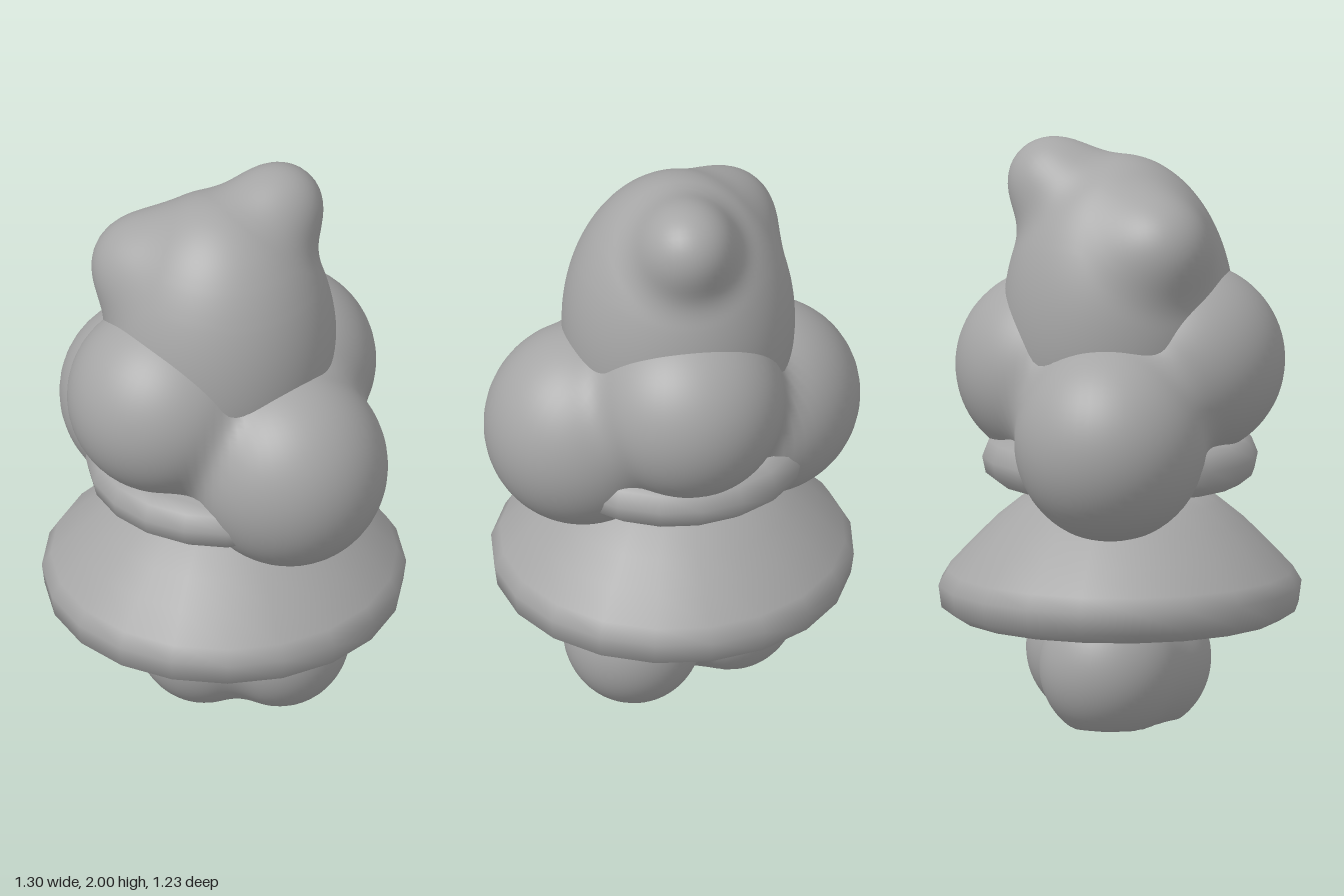
import * as THREE from 'three';
import { mergeVertices } from 'three/addons/utils/BufferGeometryUtils.js';

// Each lobe is [x, y, z, rx, ry, rz]; distance to its surface (approximate for ellipsoids)
function lobeDistance(p, [x, y, z, rx, ry = rx, rz = rx]) {
  const k = Math.hypot((p.x - x) / rx, (p.y - y) / ry, (p.z - z) / rz);
  return (k - 1) * Math.min(rx, ry, rz);
}

// Rounded union of all lobes
function blobDistance(p, lobes, blend) {
  let d = lobeDistance(p, lobes[0]);
  for (const lobe of lobes.slice(1)) {
    const e = lobeDistance(p, lobe);
    const h = Math.max(blend - Math.abs(d - e), 0) / blend;
    d = Math.min(d, e) - h * h * blend * 0.25;
  }
  return d;
}

// Shrink-wraps a sphere onto the lobes along rays from a centre
function blobGeometry(center, lobes, blend, floor = 0) {
  let geo = new THREE.SphereGeometry(1, 96, 72);
  geo.deleteAttribute('uv');
  geo.deleteAttribute('normal');
  geo = mergeVertices(geo, 1e-4);
  const pos = geo.attributes.position;
  const c = new THREE.Vector3(...center);
  const dir = new THREE.Vector3();
  const p = new THREE.Vector3();
  for (let i = 0; i < pos.count; i++) {
    dir.fromBufferAttribute(pos, i).normalize();
    let t = 1.1;
    for (let s = 0; s < 90; s++) {
      p.copy(c).addScaledVector(dir, t);
      const d = blobDistance(p, lobes, blend);
      if (d < 0.0004) break;
      t -= d * 0.7;
    }
    pos.setXYZ(i, p.x, Math.max(p.y, floor), p.z);
  }
  geo.computeVertexNormals();
  return geo;
}

const lathe = (points) =>
  new THREE.LatheGeometry(points.map(([r, y]) => new THREE.Vector2(r, y)), 20);

export function createModel() {
  const group = new THREE.Group();
  const grey = new THREE.MeshStandardMaterial({ color: 0xa6a6a6 });
  grey.name = 'grey';
  const brown = new THREE.MeshStandardMaterial({ color: 0x8a6538 });
  brown.name = 'brown';

  const add = (name, geometry, material = grey) => {
    const mesh = new THREE.Mesh(geometry, material);
    mesh.name = name;
    group.add(mesh);
    return mesh;
  };

  // Lobed foot under the skirt
  add('base', blobGeometry([0, 0.24, 0], [
    [0.19, 0.23, -0.06, 0.235, 0.25, 0.24],
    [-0.19, 0.23, -0.05, 0.235, 0.25, 0.24],
    [-0.03, 0.23, 0.07, 0.235, 0.25, 0.235],
  ], 0.06, 0.025));

  // Small plug beneath the foot
  const plug = add('plug', new THREE.CylinderGeometry(0.09, 0.08, 0.03, 10), brown);
  plug.position.set(0.01, 0.02, 0);
  plug.rotation.z = -0.05;

  // Flared skirt, flat underneath
  add('skirtUnderside', lathe([[0, 0.37], [0.55, 0.37]]));
  add('skirt', lathe([
    [0.55, 0.37], [0.605, 0.405], [0.615, 0.48], [0.585, 0.53],
    [0.5, 0.62], [0.42, 0.7], [0.34, 0.765], [0.27, 0.805], [0.15, 0.817], [0, 0.82],
  ]));

  // Collar ring showing between the side lobes
  add('collarUnderside', lathe([[0, 0.83], [0.41, 0.83]]));
  add('collar', lathe([
    [0.41, 0.83], [0.455, 0.865], [0.467, 0.92], [0.445, 0.975], [0.4, 0.998], [0.25, 1.0],
  ]));

  // Four big lobes around a core
  add('middleLobes', blobGeometry([0, 1.12, 0], [
    [0, 1.12, 0, 0.34],
    [0.305, 1.05, 0.065, 0.345, 0.355, 0.33],
    [-0.31, 1.02, -0.06, 0.34, 0.34, 0.325],
    [-0.09, 1.26, 0.22, 0.33],
    [0.07, 1.22, -0.22, 0.33],
  ], 0.07));

  // Domed top with a rear knob and a side bump
  add('top', blobGeometry([0, 1.52, 0], [
    [-0.02, 1.4, -0.005, 0.395, 0.55, 0.39],
    [0.07, 1.85, -0.225, 0.148],
    [-0.275, 1.67, 0.11, 0.155],
  ], 0.12));

  return group;
}
